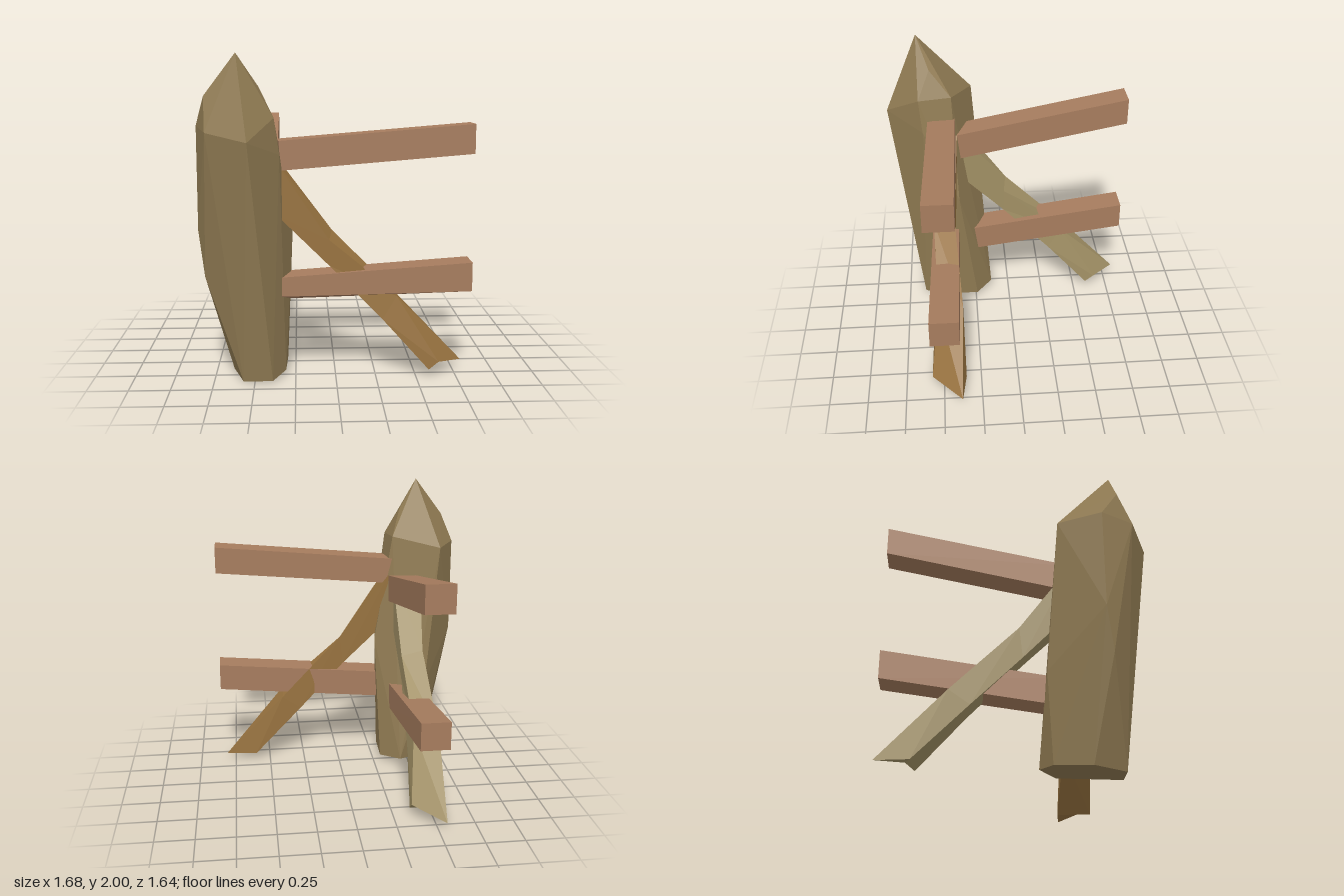
import * as THREE from 'three';
import { ConvexGeometry } from 'three/addons/geometries/ConvexGeometry.js';

const material = (color) => new THREE.MeshStandardMaterial({ color, flatShading: true });
const postWood = material(0x8f7a52);
const railWood = material(0xa67c5e);
const braceWood = material(0x97723f);
const paleBraceWood = material(0xa08f64);

// Beam through four-cornered sections: front low, front up, back up, back low.
function beam(name, sections, mat) {
  const out = [];
  const quad = (a, b, c, d) => out.push(...a, ...b, ...c, ...a, ...c, ...d);
  for (let i = 0; i < sections.length - 1; i++) {
    for (let j = 0; j < 4; j++) {
      const k = (j + 1) % 4;
      quad(sections[i][j], sections[i + 1][j], sections[i + 1][k], sections[i][k]);
    }
  }
  const last = sections[sections.length - 1];
  quad(...sections[0]);
  quad(last[3], last[2], last[1], last[0]);
  const geo = new THREE.BufferGeometry();
  geo.setAttribute('position', new THREE.Float32BufferAttribute(out, 3));
  geo.computeVertexNormals();
  const mesh = new THREE.Mesh(geo, mat);
  mesh.name = name;
  return mesh;
}

const braceSections = [
  [[-0.36, 1.03, 0.545], [-0.36, 1.35, 0.545], [-0.36, 1.36, 0.35], [-0.36, 1.03, 0.36]],
  [[-0.04, 0.71, 0.53], [-0.04, 0.87, 0.53], [-0.02, 0.91, 0.39], [-0.04, 0.71, 0.39]],
  [[0.29, 0.37, 0.545], [0.38, 0.51, 0.52], [0.4, 0.48, 0.355], [0.27, 0.39, 0.36]],
  [[0.58, 0.05, 0.575], [0.64, 0.1, 0.575], [0.81, 0.05, 0.38], [0.6, 0.05, 0.35]],
];

// Outer end of a rail, square cut
const railEnd = (x, y, z) => [[x, y, z + 0.185], [x, y + 0.18, z + 0.185], [x, y + 0.18, z], [x, y, z]];

export function createModel() {
  const model = new THREE.Group();
  model.name = 'cornerFence';

  // Hewn post with a pointed top
  const postPoints = [
    [-0.59, 2, 0.6], // tip
    [-0.46, 1.8, 0.52], [-0.78, 1.75, 0.61], // upper facets
    [-0.52, 1.49, 0.82], [-0.77, 1.54, 0.7], [-0.84, 1.57, 0.5], // shoulder
    [-0.7, 1.57, 0.24], [-0.39, 1.63, 0.38], [-0.37, 1.62, 0.6], [-0.34, 1.4, 0.58],
    [-0.84, 0.93, 0.5], [-0.8, 0.65, 0.54], [-0.6, 0.6, 0.17], [-0.265, 0.9, 0.35], // waist
    [-0.64, 0.02, 0.42], [-0.57, 0.005, 0.62], [-0.39, 0.01, 0.63], // foot
    [-0.31, 0.035, 0.5], [-0.3, 0.04, 0.24], [-0.43, 0.05, 0.13], [-0.56, 0.04, 0.2],
  ].map((p) => new THREE.Vector3(...p));
  const post = new THREE.Mesh(new ConvexGeometry(postPoints), postWood);
  post.name = 'post';
  model.add(post);

  // Side running to the model's left
  const leftSide = new THREE.Group();
  leftSide.name = 'leftSide';
  leftSide.add(
    beam('upperRail', [
      [[-0.34, 1.3, 0.545], [-0.34, 1.48, 0.545], [-0.41, 1.475, 0.36], [-0.41, 1.3, 0.36]],
      railEnd(0.84, 1.4, 0.385),
    ], railWood),
    beam('lowerRail', [
      [[-0.34, 0.52, 0.545], [-0.34, 0.64, 0.545], [-0.34, 0.64, 0.36], [-0.28, 0.46, 0.36]],
      railEnd(0.84, 0.55, 0.385),
    ], railWood),
    beam('brace', braceSections, braceWood),
  );

  // Side running to the back, laid out along x and turned a quarter
  const backSide = new THREE.Group();
  backSide.name = 'backSide';
  backSide.add(
    beam('upperRail', [
      [[-0.34, 1.18, 0.575], [-0.36, 1.36, 0.575], [-0.36, 1.36, 0.395], [-0.34, 1.18, 0.395]],
      railEnd(0.81, 1.4, 0.38),
    ], railWood),
    beam('lowerRail', [
      [[-0.27, 0.41, 0.575], [-0.29, 0.585, 0.575], [-0.29, 0.585, 0.395], [-0.27, 0.41, 0.395]],
      railEnd(0.81, 0.55, 0.38),
    ], railWood),
    beam('brace', braceSections, paleBraceWood),
  );
  backSide.rotation.y = Math.PI / 2;
  backSide.position.set(-0.935, 0, -0.01);

  model.add(leftSide, backSide);
  return model;
}
